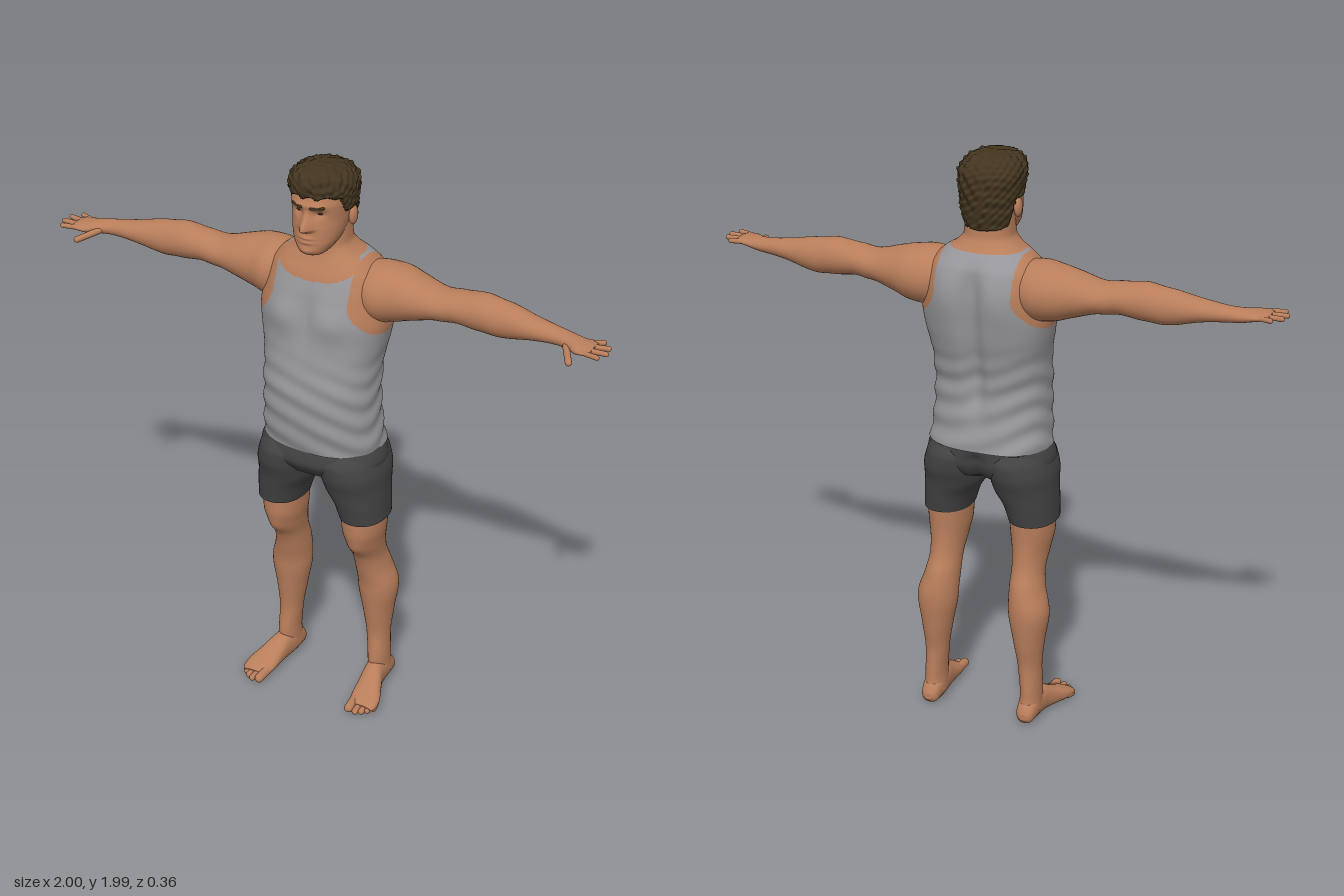
import * as THREE from 'three';

const paint = (name, color) => Object.assign(new THREE.MeshStandardMaterial({ color }), { name });
const S = THREE.MathUtils.smoothstep; // S(value, low, high)
const bump = (d, width) => Math.exp(-((d / width) ** 2));

// Monotone cubic interpolation of section rows, by their first column.
function sampleRows(rows, t) {
  const last = rows.length - 1;
  let k = 0;
  while (k < last - 1 && t > rows[k + 1][0]) k++;
  const h = rows[k + 1][0] - rows[k][0], f = (t - rows[k][0]) / h;
  return rows[k].map((p, c) => {
    if (c === 0) return t;
    const slope = i => (rows[i + 1][c] - rows[i][c]) / (rows[i + 1][0] - rows[i][0]);
    const tangent = i => {
      if (i === 0) return slope(0);
      if (i === last) return slope(last - 1);
      const a = slope(i - 1), b = slope(i);
      return a * b <= 0 ? 0 : (2 * a * b) / (a + b);
    };
    const q = rows[k + 1][c], f2 = f * f, f3 = f2 * f;
    return (2 * f3 - 3 * f2 + 1) * p + (f3 - 2 * f2 + f) * h * tangent(k)
      + (3 * f2 - 2 * f3) * q + (f3 - f2) * h * tangent(k + 1);
  });
}

// Skin over rounded sections. Rows along y: [y, cx, cz, rx, rz];
// along x: [x, cz, cy, rz, ry]; along z: [z, cy, cx, ry, rx].
function loft(rows, { axis = 'y', seg = 32, steps = 40, power = 2, warp, pick = () => 0 } = {}) {
  const pts = [], groups = [[], []];
  const place = (u, t, v) => axis === 'y' ? new THREE.Vector3(u, t, v)
    : axis === 'x' ? new THREE.Vector3(t, v, u) : new THREE.Vector3(v, u, t);
  const round = c => Math.sign(c) * Math.abs(c) ** (2 / power);
  const t0 = rows[0][0], t1 = rows[rows.length - 1][0];
  for (let i = 0; i <= steps; i++) {
    const [t, u, v, ru, rv] = sampleRows(rows, t0 + (t1 - t0) * i / steps);
    for (let j = 0; j < seg; j++) {
      const a = j / seg * Math.PI * 2;
      const p = place(u + ru * round(Math.cos(a)), t, v + rv * round(Math.sin(a)));
      if (warp) warp(p);
      pts.push(p);
    }
  }
  const face = (a, b, c) => {
    const mid = pts[a].clone().add(pts[b]).add(pts[c]).divideScalar(3);
    groups[pick(mid)].push(a, b, c);
  };
  for (let i = 0; i < steps; i++) for (let j = 0; j < seg; j++) {
    const a = i * seg + j, b = i * seg + (j + 1) % seg;
    face(a, a + seg, b);
    face(b, a + seg, b + seg);
  }
  for (const end of [0, steps]) { // flat end caps
    const ring = pts.slice(end * seg, end * seg + seg), base = pts.length;
    const mid = ring.reduce((m, p) => m.add(p), new THREE.Vector3()).divideScalar(seg);
    pts.push(...ring.map(p => p.clone()), mid);
    for (let j = 0; j < seg; j++) {
      const a = base + j, b = base + (j + 1) % seg;
      end ? face(a, base + seg, b) : face(a, b, base + seg);
    }
  }
  const geo = new THREE.BufferGeometry().setFromPoints(pts);
  geo.setIndex(groups.flat());
  geo.addGroup(0, groups[0].length, 0);
  if (groups[1].length) geo.addGroup(groups[0].length, groups[1].length, 1);
  geo.computeVertexNormals();
  return geo;
}

// Capsule between two points.
function limb(a, b, r) {
  const from = new THREE.Vector3(...a), to = new THREE.Vector3(...b), dir = to.clone().sub(from);
  const geo = new THREE.CapsuleGeometry(r, dir.length(), 6, 12);
  geo.applyQuaternion(new THREE.Quaternion().setFromUnitVectors(new THREE.Vector3(0, 1, 0), dir.normalize()));
  return geo.translate(...from.add(to).multiplyScalar(0.5).toArray());
}

function ball(x, y, z, sx, sy, sz) {
  return new THREE.SphereGeometry(1, 20, 14).scale(sx, sy, sz).translate(x, y, z);
}

function mirrored(geo) {
  const m = geo.clone().scale(-1, 1, 1), ix = m.index;
  for (let i = 0; i < ix.count; i += 3) {
    const b = ix.getX(i + 1);
    ix.setX(i + 1, ix.getX(i + 2));
    ix.setX(i + 2, b);
  }
  return m;
}

export function createModel() {
  const model = new THREE.Group();
  model.name = 'man';
  const skin = paint('skin', 0xb97e5b), shirt = paint('shirt grey', 0x97979b);
  const cloth = paint('shorts charcoal', 0x434344), hairMat = paint('hair brown', 0x43351f);
  const eyeMat = paint('eye dark', 0x3a2a20);
  const add = (name, geo, mat) => {
    const mesh = new THREE.Mesh(geo, mat);
    mesh.name = name;
    model.add(mesh);
  };
  const pair = (name, geo, mat) => {
    add(name + 'Left', geo, mat);
    add(name + 'Right', mirrored(geo), mat);
  };

  // Torso and neck: tank top with skin at the armholes and neckline
  add('torso', loft([
    [0.995, 0, 0, 0.21, 0.153], [1.1, 0, 0.015, 0.2, 0.155], [1.2, 0, 0.02, 0.197, 0.155],
    [1.3, 0, 0.008, 0.2, 0.157], [1.4, 0, -0.01, 0.218, 0.159], [1.46, 0, -0.016, 0.226, 0.159],
    [1.55, 0, -0.026, 0.212, 0.152], [1.62, 0, -0.029, 0.188, 0.134], [1.66, 0, -0.025, 0.15, 0.11],
    [1.69, 0, -0.018, 0.105, 0.092], [1.72, 0, -0.012, 0.083, 0.082], [1.8, 0, -0.015, 0.078, 0.075],
  ], {
    seg: 160, steps: 130, power: 2.3,
    warp: p => {
      const ax = Math.abs(p.x);
      if (p.z > 0) { // chest and belly
        p.z += 0.014 * bump(ax - 0.095, 0.06) * bump(p.y - 1.48, 0.06);
        p.z -= 0.008 * bump(p.x, 0.025) * bump(p.y - 1.48, 0.08);
      } else { // spine groove and shoulder blades
        p.z += 0.026 * bump(p.x, 0.035) * S(p.y, 1.05, 1.25) * (1 - S(p.y, 1.55, 1.68));
        p.z -= 0.01 * bump(ax - 0.1, 0.06) * bump(p.y - 1.53, 0.09);
      }
      const fold = 0.003 * (1 - S(p.y, 1.2, 1.4)) * Math.sin(p.y * 75 + p.x * 22 + Math.sin(p.z * 20) * 2);
      p.x *= 1 + fold * 4;
      p.z += fold * Math.sign(p.z);
    },
    pick: p => {
      const armhole = 0.135 + 0.09 * THREE.MathUtils.clamp((1.55 - p.y) / 0.12, 0, 1) ** 2;
      const neckline = 1.677 - 0.65 * Math.max(0, p.z);
      return p.y > neckline || (p.y > 1.43 && Math.abs(p.x) > armhole) ? 1 : 0;
    },
  }), [shirt, skin]);

  // Arm from shoulder to palm
  pair('arm', loft([
    [0.12, -0.035, 1.56, 0.09, 0.085], [0.2, -0.037, 1.556, 0.112, 0.1], [0.26, -0.045, 1.558, 0.102, 0.092],
    [0.32, -0.04, 1.56, 0.087, 0.075], [0.41, -0.035, 1.56, 0.069, 0.053], [0.47, -0.033, 1.567, 0.063, 0.054],
    [0.55, -0.033, 1.567, 0.062, 0.063], [0.62, -0.032, 1.56, 0.057, 0.06], [0.74, -0.021, 1.56, 0.044, 0.036],
    [0.82, -0.013, 1.558, 0.034, 0.026], [0.86, -0.003, 1.557, 0.037, 0.023], [0.9, 0.015, 1.558, 0.048, 0.018],
    [0.93, 0.019, 1.56, 0.048, 0.013], [0.945, 0.02, 1.561, 0.04, 0.007],
  ], { axis: 'x', seg: 36, steps: 70 }), skin);

  // Fingers and thumb: [base z, tip x, tip z]
  for (const [z, tx, tz] of [[-0.02, 0.957, -0.033], [0.006, 0.985, -0.003], [0.032, 0.9915, 0.033], [0.055, 0.975, 0.068]])
    pair('finger', limb([0.92, 1.56, z], [tx, 1.562, tz], 0.0085), skin);
  pair('thumb', limb([0.855, 1.552, 0.025], [0.897, 1.54, 0.1], 0.011), skin);

  // Shorts
  add('shortsPelvis', loft([
    [0.87, 0, 0, 0.1, 0.07], [0.895, 0, 0, 0.19, 0.12], [0.95, 0, 0.005, 0.222, 0.15], [1.01, 0, 0, 0.203, 0.145],
  ], {
    seg: 64, steps: 24, power: 2.3,
    warp: p => { if (p.z < 0) p.z += 0.025 * bump(p.x, 0.025) * (1 - S(p.y, 0.95, 1.0)); },
  }), cloth);
  pair('shortsLeg', loft([
    [0.73, 0.156, 0.003, 0.081, 0.106], [0.79, 0.145, 0.003, 0.09, 0.118], [0.85, 0.126, 0.002, 0.106, 0.132],
    [0.91, 0.118, 0.002, 0.111, 0.15], [0.95, 0.108, 0.002, 0.11, 0.152], [0.99, 0.1, 0, 0.095, 0.13],
  ], { seg: 48, steps: 30, power: 2.15 }), cloth);

  // Bare legs
  pair('leg', loft([
    [0.04, 0.18, -0.08, 0.038, 0.052], [0.1, 0.18, -0.067, 0.036, 0.056], [0.2, 0.175, -0.07, 0.04, 0.05],
    [0.3, 0.172, -0.073, 0.053, 0.062], [0.41, 0.17, -0.072, 0.07, 0.073], [0.5, 0.157, -0.056, 0.059, 0.075],
    [0.55, 0.153, -0.038, 0.055, 0.073], [0.62, 0.152, -0.01, 0.062, 0.087], [0.68, 0.152, 0.001, 0.072, 0.097],
    [0.78, 0.15, 0, 0.078, 0.1],
  ], {
    seg: 40, steps: 70,
    warp: p => { if (p.z > 0) p.z += 0.01 * bump(p.x - 0.155, 0.03) * bump(p.y - 0.615, 0.03); },
  }), skin);

  // Feet and toes: [x, tip z, radius]
  pair('foot', loft([
    [-0.142, 0.03, 0.18, 0.012, 0.014], [-0.13, 0.036, 0.18, 0.032, 0.03], [-0.08, 0.05, 0.18, 0.048, 0.037],
    [-0.02, 0.05, 0.185, 0.05, 0.037], [0.04, 0.037, 0.198, 0.037, 0.045], [0.09, 0.025, 0.209, 0.025, 0.053],
    [0.125, 0.018, 0.213, 0.017, 0.05], [0.14, 0.016, 0.213, 0.01, 0.04],
  ], { axis: 'z', seg: 32, steps: 40, power: 2.3 }), skin);
  for (const [x, tz, r] of [[0.18, 0.16, 0.016], [0.206, 0.163, 0.0115], [0.225, 0.153, 0.011], [0.241, 0.138, 0.0105], [0.255, 0.12, 0.01]])
    pair('toe', limb([x - 0.004, r + 0.006, 0.09], [x, r, tz], r), skin);

  // Head with sculpted nose, eye sockets, brow and lips
  add('head', loft([
    [1.698, 0, 0.085, 0.025, 0.025], [1.705, 0, 0.078, 0.042, 0.043], [1.725, 0, 0.062, 0.06, 0.067],
    [1.75, 0, 0.048, 0.075, 0.08], [1.79, 0, 0.027, 0.086, 0.099], [1.83, 0, 0.011, 0.092, 0.111],
    [1.87, 0, 0.008, 0.095, 0.117], [1.92, 0, 0, 0.092, 0.11], [1.96, 0, 0, 0.06, 0.075], [1.972, 0, 0, 0.02, 0.03],
  ], {
    seg: 128, steps: 100, power: 2.2,
    warp: p => {
      if (p.z < 0.03) return;
      const ax = Math.abs(p.x), y = p.y;
      const nose = S(y, 1.778, 1.797) * (1 - S(y, 1.797, 1.865));
      p.z += 0.036 * nose * bump(p.x, 0.012 + 0.008 * nose);
      p.z -= 0.013 * bump(ax - 0.036, 0.02) * bump(y - 1.845, 0.014);
      p.z += 0.006 * bump(ax - 0.03, 0.035) * bump(y - 1.871, 0.01);
      p.z += 0.006 * bump(p.x, 0.025) * (bump(y - 1.763, 0.006) + bump(y - 1.748, 0.006));
      p.z += 0.006 * bump(p.x, 0.025) * bump(y - 1.717, 0.012);
    },
  }), skin);
  pair('ear', ball(0.096, 1.812, -0.008, 0.013, 0.034, 0.021), skin);
  pair('eye', ball(0.036, 1.846, 0.099, 0.012, 0.005, 0.009), eyeMat);
  pair('eyebrow', limb([0.018, 1.868, 0.129], [0.054, 1.87, 0.112], 0.0045), hairMat);

  // Short wavy hair; below the hairline the shell tucks into the head
  add('hair', loft([
    [1.735, 0, -0.025, 0.07, 0.072], [1.78, 0, -0.01, 0.09, 0.097], [1.83, 0, 0.003, 0.099, 0.119],
    [1.87, 0, 0.004, 0.103, 0.124], [1.92, 0, 0.008, 0.107, 0.125], [1.95, 0, 0.016, 0.096, 0.113],
    [1.972, 0, 0.022, 0.068, 0.083], [1.982, 0, 0.024, 0.03, 0.04],
  ], {
    seg: 120, steps: 90, power: 2.15,
    warp: p => {
      const { x, y, z } = p;
      const hairline = 1.745 + 0.095 * S(z, -0.05, -0.025) + 0.06 * S(z, 0.035, 0.08)
        + 0.005 * Math.sin(x * 130) * S(z, 0.06, 0.09);
      const curl = Math.sin(x * 150 + y * 60) * Math.sin(y * 170 + z * 40) * Math.sin(z * 140 - x * 50);
      const k = y < hairline ? 0.8 : 1 + 0.06 * curl;
      p.set(x * k, y + (y > hairline ? 0.004 * curl : 0), z * k);
    },
  }), hairMat);

  return model;
}
